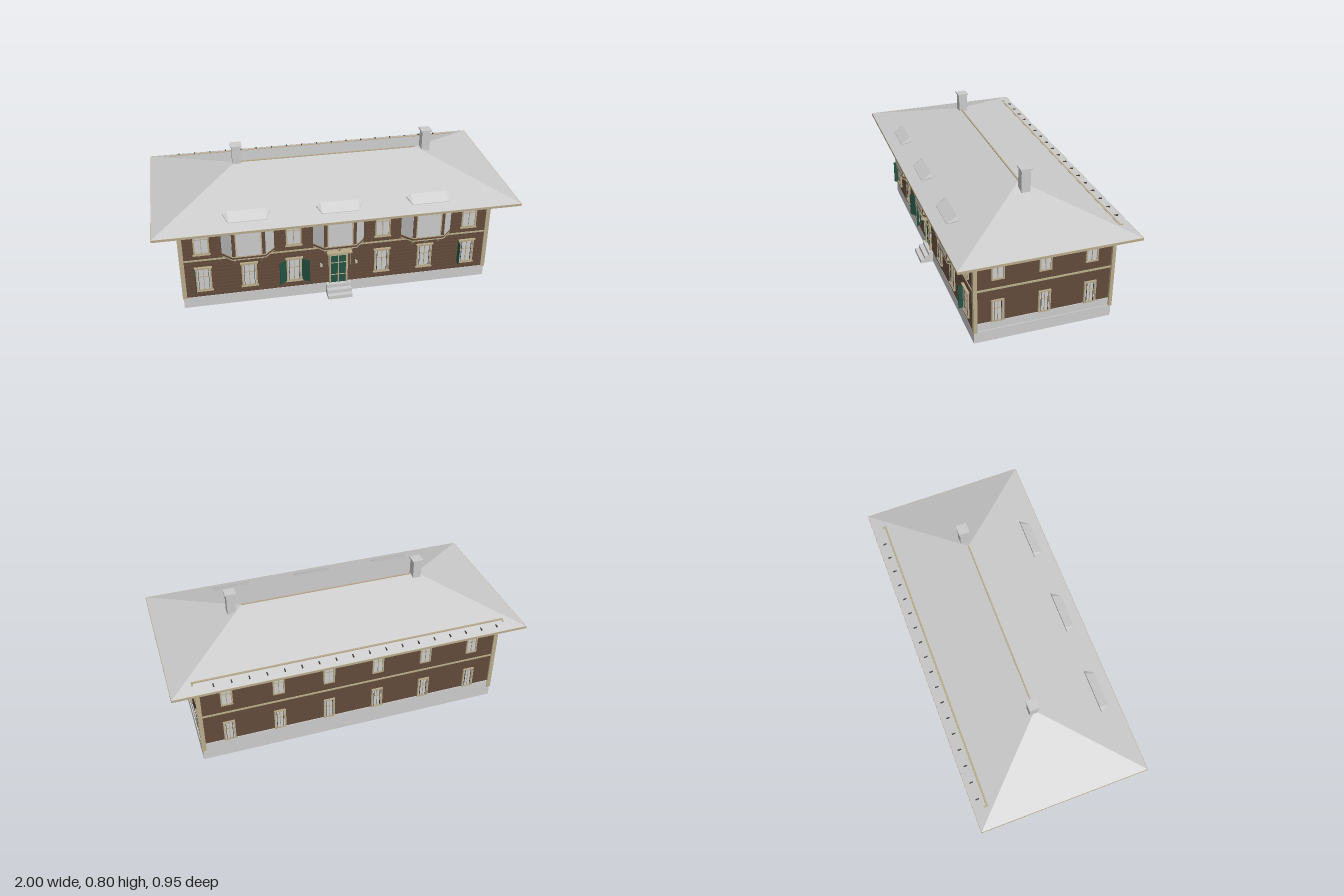
import * as THREE from 'three';
import { ConvexGeometry } from 'three/addons/geometries/ConvexGeometry.js';

const mat = (name, color) => Object.assign(new THREE.MeshStandardMaterial({ color }), { name });
const grey = mat('pale grey', 0xcbcbcb);
const brown = mat('brown timber', 0x624a3a);
const tan = mat('tan trim', 0xb8aa8a);
const green = mat('green paint', 0x235243);
const dark = mat('dark iron', 0x45403a);

function add(parent, name, geo, material, x = 0, y = 0, z = 0) {
  const m = new THREE.Mesh(geo, material);
  m.name = name;
  m.position.set(x, y, z);
  parent.add(m);
  return m;
}

// Box given by its limits on each axis
function box(parent, name, material, x0, x1, y0, y1, z0, z1) {
  return add(parent, name, new THREE.BoxGeometry(x1 - x0, y1 - y0, z1 - z0), material,
    (x0 + x1) / 2, (y0 + y1) / 2, (z0 + z1) / 2);
}

// Vertical prism over an [x, z] outline, with an optional hole
function prism(outline, y0, y1, hole) {
  const toV = (p) => new THREE.Vector2(p[0], -p[1]);
  const shape = new THREE.Shape(outline.map(toV));
  if (hole) shape.holes.push(new THREE.Path(hole.map(toV)));
  return new THREE.ExtrudeGeometry(shape, { depth: y1 - y0, bevelEnabled: false })
    .rotateX(-Math.PI / 2).translate(0, y0, 0);
}
const rect = (x, z0, z1) => [[-x, z1], [x, z1], [x, z0], [-x, z0]];

// Group whose local +z points out of a wall
function face(parent, name, x, z, turn) {
  const g = new THREE.Group();
  g.name = name;
  g.position.set(x, 0, z);
  g.rotation.y = turn;
  parent.add(g);
  return g;
}

// Window: pane through the wall, frame, and either a cross or upright bars
function windowUnit(wall, x, y0, y1, w, barred, cornice) {
  const g = new THREE.Group();
  g.name = 'window';
  g.position.x = x;
  wall.add(g);
  const h = w / 2, t = 0.008, d = 0.009;
  box(g, 'pane', grey, -h + t, h - t, y0 + t, y1 - t, -0.013, 0.004);
  for (const s of [-1, 1]) box(g, 'frameSide', tan, s * (h - t / 2) - t / 2, s * (h - t / 2) + t / 2, y0, y1, 0, d);
  box(g, 'frameBottom', tan, -h, h, y0, y0 + t, 0, d);
  box(g, 'frameTop', tan, -h, h, y1 - t, y1, 0, d);
  box(g, 'mullion', tan, -0.002, 0.002, y0 + t, y1 - t, 0, 0.007);
  const bar = y0 + (y1 - y0) * 0.62;
  box(g, 'crossbar', tan, -h + t, h - t, bar - 0.002, bar + 0.002, 0, 0.007);
  if (barred) for (const s of [-0.5, 0.5])
    box(g, 'bar', dark, s * (w - 0.03) - 0.0012, s * (w - 0.03) + 0.0012, y0 + t, y1 - t, 0.004, 0.008);
  if (cornice) {
    box(g, 'cornice', tan, -h - 0.006, h + 0.006, y1, y1 + 0.007, 0, 0.015);
    box(g, 'sill', tan, -h - 0.005, h + 0.005, y0 - 0.005, y0, 0, 0.013);
  }
}

// Projecting bay with slanted glazed sides, brackets and a roof hood
function bay(parent, x) {
  const g = face(parent, 'bay', x, 0, 0);
  const plan = (e) => [[-0.143 - e, 0.355], [-0.089 - e, 0.411 + e], [0.089 + e, 0.411 + e], [0.143 + e, 0.355]].reverse();
  add(g, 'bayBody', prism(plan(0), 0.32, 0.526), brown);
  add(g, 'bayBaseTrim', prism(plan(0.002), 0.32, 0.326), tan);
  add(g, 'baySillTrim', prism(plan(0.002), 0.338, 0.344), tan);
  box(g, 'bayWindow', grey, -0.066, 0.066, 0.346, 0.524, 0.411, 0.414);
  for (const s of [-1, 1]) {
    add(g, 'baySideGlass', new THREE.BoxGeometry(0.074, 0.18, 0.004), grey, s * 0.116, 0.435, 0.383)
      .rotation.y = s * 0.803;
    box(g, 'bayFrame', tan, s * 0.069 - 0.003, s * 0.069 + 0.003, 0.344, 0.526, 0.411, 0.415);
  }
  for (const dx of [-0.075, 0, 0.075]) {
    const tri = new THREE.Shape([new THREE.Vector2(0.355, 0.265), new THREE.Vector2(0.411, 0.32), new THREE.Vector2(0.355, 0.32)]);
    const geo = new THREE.ExtrudeGeometry(tri, { depth: 0.008, bevelEnabled: false }).rotateY(-Math.PI / 2);
    add(g, 'bayBracket', geo, tan, dx + 0.004);
  }
  const pts = [];
  for (const s of [-1, 1]) pts.push(
    new THREE.Vector3(s * 0.1, 0.55, 0.412), new THREE.Vector3(s * 0.1, 0.562, 0.412),
    new THREE.Vector3(s * 0.125, 0.57, 0.356), new THREE.Vector3(s * 0.125, 0.584, 0.358),
    new THREE.Vector3(s * 0.1, 0.597, 0.355));
  add(g, 'bayHood', new ConvexGeometry(pts), grey);
}

export function createModel() {
  const house = new THREE.Group();
  house.name = 'house';

  // Hollow foundation and walls
  add(house, 'foundation', prism(rect(0.87, -0.4, 0.357), 0, 0.066, rect(0.85, -0.38, 0.335)), grey);
  add(house, 'walls', prism(rect(0.86, -0.395, 0.354), 0.066, 0.526, rect(0.85, -0.385, 0.344)), brown);
  for (let i = 0; i < 21; i++) {
    const y = 0.068 + i * 0.0218;
    box(house, 'frontBoard', brown, -0.855, 0.855, y, y + 0.0195, 0.353, 0.357);
  }

  // Plinth, corner boards and string course
  for (const s of [-1, 1]) {
    box(house, 'sidePlinth', grey, s * 0.862 - 0.003, s * 0.862 + 0.003, 0.066, 0.11, -0.385, 0.34);
    for (const [z0, z1] of [[0.34, 0.361], [-0.404, -0.385]])
      box(house, 'cornerBoard', tan, s * 0.862 - 0.012, s * 0.862 + 0.012, 0.064, 0.526, z0, z1);
    box(house, 'sideStringCourse', tan, s * 0.862 - 0.004, s * 0.862 + 0.004, 0.302, 0.311, -0.39, 0.345);
  }
  box(house, 'backPlinth', grey, -0.85, 0.85, 0.066, 0.11, -0.4, -0.394);
  box(house, 'backStringCourse', tan, -0.855, 0.855, 0.302, 0.311, -0.4, -0.394);
  box(house, 'frontStringCourse', tan, -0.855, 0.855, 0.304, 0.313, 0.35, 0.361);

  // Windows on each wall
  const front = face(house, 'frontWall', 0, 0.356, 0);
  for (const x of [-0.75, -0.5, -0.25, 0.25, 0.5, 0.75]) windowUnit(front, x, 0.112, 0.258, 0.086, true, true);
  for (const x of [-0.75, -0.25, 0.25, 0.75]) windowUnit(front, x, 0.348, 0.5, 0.086, false, true);
  const back = face(house, 'backWall', 0, -0.395, Math.PI);
  for (let i = 0; i < 6; i++) {
    const x = -0.712 + i * 0.285;
    windowUnit(back, x, 0.11, 0.24, 0.066, true, false);
    windowUnit(back, x, 0.36, 0.487, 0.066, false, false);
  }
  for (const s of [-1, 1]) {
    const side = face(house, s > 0 ? 'leftWall' : 'rightWall', s * 0.86, 0, s * Math.PI / 2);
    for (const z of [0.23, -0.022, -0.275]) {
      windowUnit(side, -s * z, 0.11, 0.24, 0.068, true, false);
      windowUnit(side, -s * z, 0.36, 0.487, 0.068, false, false);
    }
  }

  // Shutters: a half-open pair, and single ones swung straight out
  for (const s of [-1, 1])
    add(house, 'shutter', new THREE.BoxGeometry(0.05, 0.14, 0.004), green, -0.25 + s * 0.064, 0.18, 0.373)
      .rotation.y = -s * 0.65;
  for (const x of [-0.797, 0.703]) box(house, 'shutter', green, x - 0.002, x + 0.002, 0.11, 0.25, 0.357, 0.388);

  // Door with frame, glazing bars, hood and lamps
  box(house, 'door', green, -0.043, 0.043, 0.066, 0.25, 0.342, 0.36);
  for (const s of [-1, 1]) {
    box(house, 'doorPost', tan, s * 0.048 - 0.005, s * 0.048 + 0.005, 0.066, 0.28, 0.352, 0.368);
    box(house, 'lampArm', dark, s * 0.1 - 0.002, s * 0.1 + 0.002, 0.213, 0.217, 0.355, 0.378);
    box(house, 'lamp', grey, s * 0.1 - 0.005, s * 0.1 + 0.005, 0.192, 0.213, 0.368, 0.378);
    box(house, 'hoodDrop', tan, s * 0.062 - 0.002, s * 0.062 + 0.002, 0.205, 0.284, 0.396, 0.4);
  }
  box(house, 'doorMullion', tan, -0.003, 0.003, 0.07, 0.25, 0.36, 0.363);
  for (const y of [0.12, 0.2]) box(house, 'doorRail', tan, -0.043, 0.043, y - 0.002, y + 0.002, 0.36, 0.363);
  box(house, 'fanlight', grey, -0.043, 0.043, 0.255, 0.278, 0.342, 0.36);
  box(house, 'doorLintel', tan, -0.05, 0.05, 0.249, 0.256, 0.352, 0.366);
  box(house, 'doorHood', tan, -0.07, 0.07, 0.282, 0.291, 0.353, 0.404);

  // Front steps
  for (let i = 0; i < 3; i++)
    box(house, 'step', grey, -0.07, 0.07, i * 0.022, (i + 1) * 0.022, 0.35, 0.431 - i * 0.025);

  for (const x of [-0.5, 0, 0.5]) bay(house, x);

  // Hipped roof on a tan eaves slab
  box(house, 'eaves', tan, -1, 1, 0.525, 0.538, -0.48, 0.475);
  const corners = [[-0.998, 0.538, -0.478], [0.998, 0.538, -0.478], [0.998, 0.538, 0.473], [-0.998, 0.538, 0.473],
    [-0.52, 0.7, 0], [0.52, 0.7, 0]];
  add(house, 'roof', new ConvexGeometry(corners.map((c) => new THREE.Vector3(...c))), grey);
  box(house, 'ridgeCap', tan, -0.52, 0.52, 0.697, 0.703, -0.004, 0.004);

  // Chimneys
  for (const x of [-0.51, 0.58]) {
    box(house, 'chimney', grey, x - 0.024, x + 0.024, 0.6, 0.796, -0.034, 0.016);
    box(house, 'chimneyCap', grey, x - 0.031, x + 0.031, 0.796, 0.804, -0.04, 0.022);
  }

  // Rear gutter rail with a row of roof hooks
  box(house, 'gutterRail', tan, -0.885, 0.885, 0.552, 0.566, -0.41, -0.399);
  for (const s of [-1, 1]) box(house, 'gutterEnd', tan, s * 0.881 - 0.005, s * 0.881 + 0.005, 0.55, 0.562, -0.392 - 0.03, -0.399);
  for (let i = 0; i < 18; i++) {
    const x = -0.83 + i * 0.0945;
    box(house, 'roofHook', dark, x - 0.003, x + 0.003, 0.54, 0.556, -0.45, -0.43);
  }
  return house;
}
